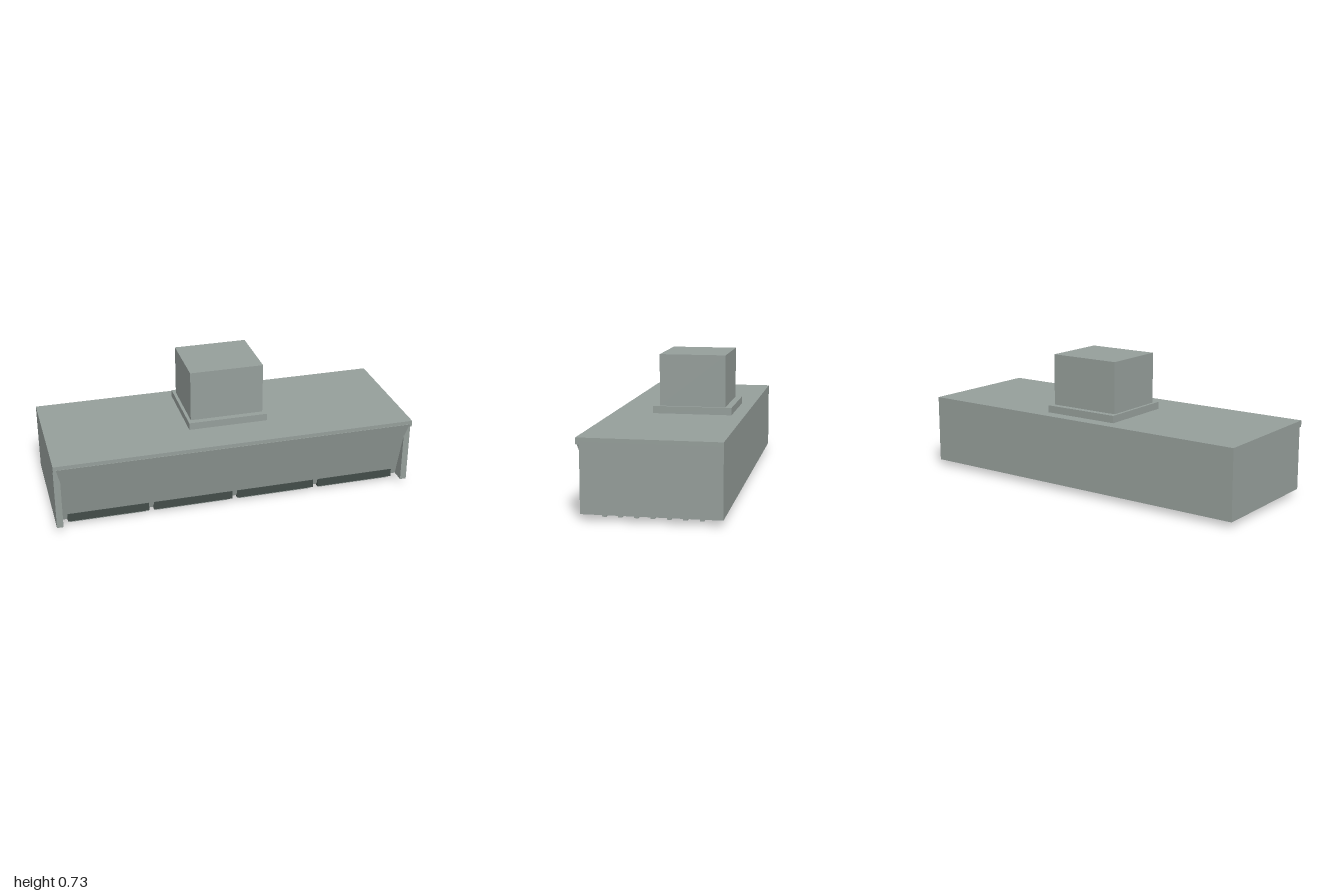
import * as THREE from 'three';

export function createModel() {
  const steel = new THREE.MeshStandardMaterial({ color: 0x959e9a });
  steel.name = 'brushed steel';
  const dark = new THREE.MeshStandardMaterial({ color: 0x424c49 });
  dark.name = 'dark filter metal';

  const hood = new THREE.Group();
  hood.name = 'rangeHood';

  // Box given by its minimum and maximum on each axis
  function box(name, mat, x0, x1, y0, y1, z0, z1, parent = hood) {
    const mesh = new THREE.Mesh(new THREE.BoxGeometry(x1 - x0, y1 - y0, z1 - z0), mat);
    mesh.position.set((x0 + x1) / 2, (y0 + y1) / 2, (z0 + z1) / 2);
    mesh.name = name;
    parent.add(mesh);
    return mesh;
  }

  // Canopy shell, open underneath
  box('topPlate', steel, -1, 1, 0.39, 0.41, -0.363, 0.362);
  box('backWall', steel, -0.965, 0.965, 0.03, 0.39, -0.363, -0.34);
  for (const s of [-1, 1]) {
    const side = s > 0 ? 'left' : 'right';
    const span = (a, b) => (s > 0 ? [a, b] : [-b, -a]);
    box(side + 'SideWall', steel, ...span(0.965, 1), 0.03, 0.39, -0.363, 0.344);
    box(side + 'LipReturn', steel, ...span(0.986, 1), 0.375, 0.39, 0.344, 0.362);
  }

  // Front panel: outline extruded, then leaned back toward the bottom
  const outline = new THREE.Shape([
    [-0.965, 0.03], [0.965, 0.03], [0.965, 0.3], [0.985, 0.39], [-0.985, 0.39], [-0.965, 0.3],
  ].map(([x, y]) => new THREE.Vector2(x, y)));
  const panelGeo = new THREE.ExtrudeGeometry(outline, { depth: 0.012, bevelEnabled: false });
  const p = panelGeo.attributes.position;
  for (let i = 0; i < p.count; i++) {
    p.setZ(i, p.getZ(i) - 0.012 + 0.365 - (0.39 - p.getY(i)) * 0.27);
  }
  panelGeo.computeVertexNormals();
  const panel = new THREE.Mesh(panelGeo, steel);
  panel.name = 'frontPanel';
  hood.add(panel);

  // Collar and exhaust duct
  box('ductCollar', steel, -0.222, 0.222, 0.41, 0.45, -0.29, 0.143);
  box('duct', steel, -0.205, 0.205, 0.45, 0.733, -0.254, 0.108);

  // Four baffle filters with raised bars
  for (let i = 0; i < 4; i++) {
    const x = (i - 1.5) * 0.473;
    const filter = new THREE.Group();
    filter.name = 'baffleFilter' + (i + 1);
    box('filterFrame', dark, x - 0.223, x + 0.223, 0.02, 0.066, -0.281, 0.281, filter);
    for (let j = 0; j < 7; j++) {
      const z = 0.245 - j * 0.0818;
      box('baffleBar', steel, x - 0.208, x + 0.208, 0, 0.02, z - 0.011, z + 0.011, filter);
    }
    hood.add(filter);
  }

  return hood;
}
